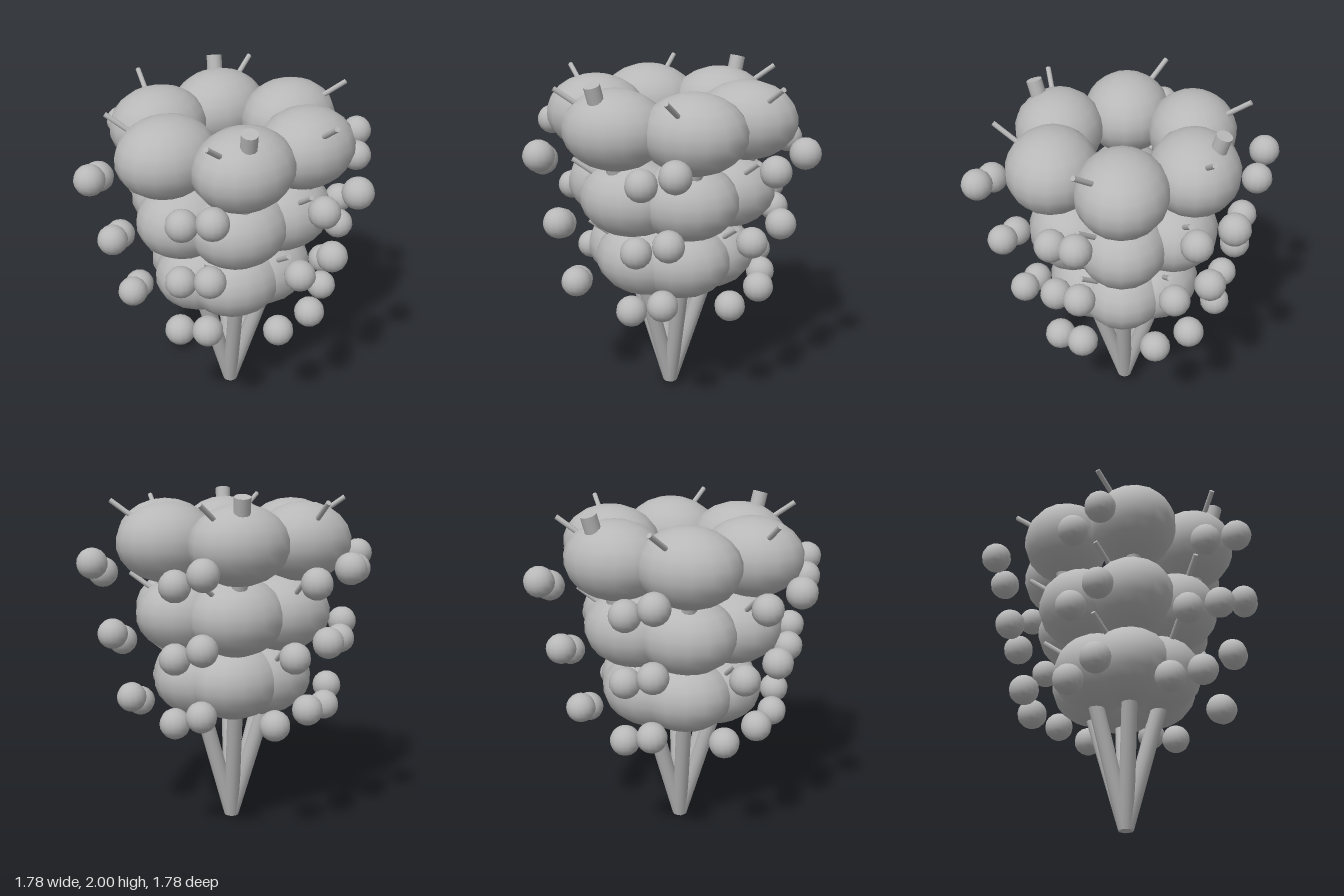
import * as THREE from 'three';

const UP = new THREE.Vector3(0, 1, 0);

export function createModel() {
  const model = new THREE.Group();
  const grey = new THREE.MeshStandardMaterial({ color: 0xb8b8b8 });
  grey.name = 'plain grey';

  const leafGeo = new THREE.SphereGeometry(1, 16, 11);
  const fruitGeo = new THREE.SphereGeometry(0.088, 14, 10);

  function add(name, geometry, position) {
    const mesh = new THREE.Mesh(geometry, grey);
    mesh.name = name;
    mesh.position.copy(position);
    model.add(mesh);
    return mesh;
  }

  // Straight round rod between two points
  function rod(name, a, b, radius, sides) {
    const geo = new THREE.CylinderGeometry(radius, radius, a.distanceTo(b), sides);
    const mesh = add(name, geo, a.clone().lerp(b, 0.5));
    mesh.quaternion.setFromUnitVectors(UP, b.clone().sub(a).normalize());
  }

  // Foliage levels: distance from the axis and height
  const levels = [[0.21, 0.91], [0.325, 1.305], [0.443, 1.72]];
  const slope = 0.305;
  const trunkTops = [1.8, 1.88, 1.987]; // only one opposite pair pokes through

  for (let i = 0; i < 6; i++) {
    const at = (x, y, z) => new THREE.Vector3(x, y, z).applyAxisAngle(UP, -i * Math.PI / 3);

    // Leaning trunk
    const top = trunkTops[i % 3];
    rod('trunk', at(0, 0.013, 0), at(top * slope, top, 0), 0.046, 12);

    for (const [r, y] of levels) {
      // Flattened foliage, all aligned to the same axes
      add('foliage', leafGeo, at(r, y, 0)).scale.set(0.297, 0.225, 0.257);
      // Twig reaching up and sideways out of the foliage
      rod('twig', at(r, y, 0), at(r + 0.23, y + 0.23, 0.23), 0.015, 8);
      // Pair of hanging fruit
      add('fruit', fruitGeo, at(r + 0.36, y - 0.115, 0.22));
      add('fruit', fruitGeo, at(r + 0.22, y - 0.188, 0.36));
    }
  }
  return model;
}
